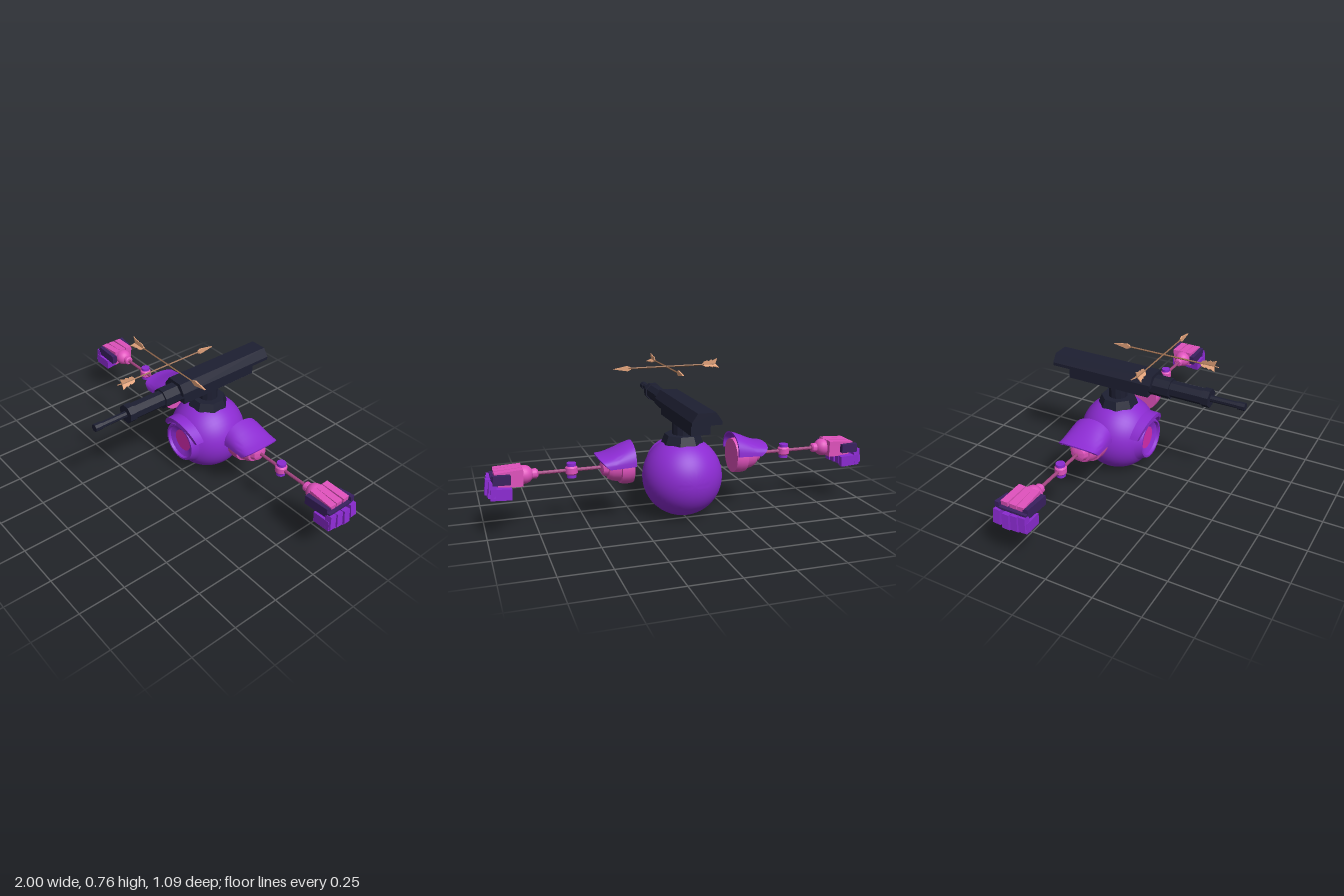
import * as THREE from 'three';
import { toCreasedNormals } from 'three/addons/utils/BufferGeometryUtils.js';

const mat = (name, color) => Object.assign(new THREE.MeshStandardMaterial({ color }), { name });
const purple = mat('purple', 0x8c2bd2);
const darkPurple = mat('dark purple', 0x3a2160);
const pink = mat('pink', 0xe052bd);
const magenta = mat('magenta', 0xd82cb2);
const rodPink = mat('dull pink', 0xa0437f);
const navy = mat('navy', 0x1d1f32);
const tan = mat('tan', 0xe2a27a);
const brown = mat('brown', 0x94694c);

const CZ = -0.18; // depth of the body and arm axis
const EYE_Y = 0.207;
const ARM_Y = 0.29;

function add(parent, name, geo, material, pos = [0, 0, 0], rot = [0, 0, 0]) {
  const m = new THREE.Mesh(geo, material);
  m.name = name;
  m.position.set(...pos);
  m.rotation.set(...rot);
  parent.add(m);
  return m;
}
const flat = (g) => toCreasedNormals(g, 0.1);
const box = (w, h, d) => new THREE.BoxGeometry(w, h, d);
const outline = (pts) => new THREE.Shape(pts.map((p) => new THREE.Vector2(...p)));
const plate = (shape, depth) => new THREE.ExtrudeGeometry(shape, { depth, bevelEnabled: false }).translate(0, 0, -depth / 2);
const lathe = (pts, seg = 40, crease = 0.5) =>
  toCreasedNormals(new THREE.LatheGeometry(pts.map(([r, y]) => new THREE.Vector2(r, y)), seg), crease);

// Joins closed cross-sections into a capped solid facing outwards
function loft(sections, crease = 0.6) {
  const n = sections[0].length, pos = sections.flat(2), idx = [];
  for (let i = 0; i < sections.length - 1; i++)
    for (let j = 0; j < n; j++) {
      const a = i * n + j, b = i * n + (j + 1) % n;
      idx.push(a, b, b + n, a, b + n, a + n);
    }
  const last = (sections.length - 1) * n;
  for (let j = 0; j < n / 2 - 1; j++) {
    const a = j, b = j + 1, c = n - 2 - j, d = n - 1 - j;
    idx.push(a, c, b, a, d, c, last + a, last + b, last + c, last + a, last + c, last + d);
  }
  let volume = 0;
  const v = (i) => new THREE.Vector3().fromArray(pos, i * 3);
  for (let i = 0; i < idx.length; i += 3) volume += v(idx[i]).dot(v(idx[i + 1]).cross(v(idx[i + 2])));
  if (volume < 0) idx.reverse();
  const g = new THREE.BufferGeometry();
  g.setAttribute('position', new THREE.Float32BufferAttribute(pos, 3));
  g.setIndex(idx);
  return toCreasedNormals(g, crease);
}

// Mirrors a group across x with the corner order corrected
function mirrored(group, name) {
  const out = new THREE.Group();
  out.name = name;
  group.updateMatrixWorld(true);
  group.traverse((m) => {
    if (!m.isMesh) return;
    const g = (m.geometry.index ? m.geometry.toNonIndexed() : m.geometry.clone()).applyMatrix4(m.matrixWorld);
    g.scale(-1, 1, 1);
    for (const a of Object.values(g.attributes))
      for (let i = 0; i < a.count; i += 3)
        for (let k = 0; k < a.itemSize; k++) {
          const t = a.getComponent(i + 1, k);
          a.setComponent(i + 1, k, a.getComponent(i + 2, k));
          a.setComponent(i + 2, k, t);
        }
    add(out, m.name, g, m.material);
  });
  return out;
}

function buildBody() {
  const g = new THREE.Group();
  g.name = 'body';
  const at = [0, EYE_Y, CZ], toFront = [Math.PI / 2, 0, 0];
  // Ball shell, open at the front for the eye
  const shell = [];
  for (let i = 0; i <= 28; i++) {
    const a = (i / 28) * 2.465;
    shell.push([Math.max(0.0001, 0.206 * Math.sin(a)), -0.206 * Math.cos(a)]);
  }
  add(g, 'ballShell', lathe(shell, 48), purple, at, toFront);
  add(g, 'eyeRing', lathe([[0.13, 0.158], [0.123, 0.164], [0.106, 0.2], [0.096, 0.2], [0.092, 0.185], [0.06, 0.172]], 48), purple, at, toFront);
  add(g, 'eyeLens', new THREE.CircleGeometry(0.062, 40), magenta, [0, EYE_Y, CZ + 0.174]);
  // Curved brow above the eye
  const sections = [];
  for (let i = 0; i <= 20; i++) {
    const t = THREE.MathUtils.degToRad(22 + (136 * i) / 20), s = (Math.sin(t) - 0.37) / 0.63;
    const p = (r, z) => [r * Math.cos(t), EYE_Y + r * Math.sin(t), z];
    const front = 0.008 + 0.03 * s, back = -0.037 + 0.015 * s;
    sections.push([p(0.15, back), p(0.147, front), p(0.126, front), p(0.126, back)]);
  }
  add(g, 'eyeBrow', loft(sections), purple);
  return g;
}

function buildCannon() {
  const g = new THREE.Group();
  g.name = 'cannon';
  // Turret mount
  const drum = (name, r1, r2, y0, y1, n) =>
    add(g, name, flat(new THREE.CylinderGeometry(r2, r1, y1 - y0, n)), navy, [0, (y0 + y1) / 2, CZ], [0, Math.PI / n, 0]);
  drum('mountBase', 0.108, 0.09, 0.385, 0.43, 8);
  drum('mountNeck', 0.052, 0.052, 0.42, 0.5, 12);
  // Housing
  add(g, 'lowerHousing', box(0.1, 0.07, 0.48), navy, [0, 0.523, -0.215]);
  const s = outline([[-0.075, 0.555], [0.075, 0.555], [0.075, 0.572], [0.045, 0.615], [-0.045, 0.615], [-0.075, 0.572]]);
  add(g, 'upperHousing', plate(s, 0.59), navy, [0, 0, -0.245]);
  // Barrel pieces: name, radius, z start, z end
  for (const [name, r, z0, z1] of [
    ['barrelCollar', 0.055, 0.02, 0.142], ['barrel', 0.044, 0.14, 0.34], ['barrelRing', 0.05, 0.322, 0.36],
    ['innerBarrel', 0.017, 0.35, 0.51], ['muzzle', 0.021, 0.506, 0.545],
  ])
    add(g, name, flat(new THREE.CylinderGeometry(r, r, z1 - z0, 8).rotateY(Math.PI / 8).rotateX(Math.PI / 2)), navy, [0, 0.547, (z0 + z1) / 2]);
  return g;
}

function buildArm() {
  const g = new THREE.Group();
  g.name = 'leftArm';
  const alongX = (name, pts, material, seg = 24) =>
    add(g, name, lathe(pts, seg), material, [0, ARM_Y, CZ], [0, 0, -Math.PI / 2]);
  alongX('shoulder', [[0.0001, 0.272], [0.09, 0.272], [0.093, 0.3], [0.089, 0.335], [0.079, 0.338], [0.071, 0.375],
    [0.06, 0.395], [0.049, 0.397], [0.04, 0.42], [0.022, 0.428], [0.0001, 0.428]], pink, 32);

  // Flared shoulder guard
  const sections = [];
  for (let i = 0; i <= 24; i++) {
    const t = (Math.PI * i) / 24, s = Math.sin(t), outer = [], inner = [];
    for (let j = 0; j <= 6; j++) {
      const u = j / 6, h = 0.11 - 0.06 * Math.pow(THREE.MathUtils.smoothstep(u, -0.15, 1), 0.9);
      const x = 0.27 + u * (0.13 + 0.05 * Math.pow(s, 0.5)), base = 0.31 - 0.006 * u, r = 0.115 - 0.003 * u * u;
      const lift = Math.pow(s, 0.8 - 0.25 * u);
      outer.push([x, base + h * lift, CZ + r * Math.cos(t)]);
      inner.unshift([x, base - 0.002 + (h - 0.006) * lift, CZ + (r - 0.01) * Math.cos(t)]);
    }
    sections.push([...outer, ...inner]);
  }
  add(g, 'shoulderGuard', loft(sections), purple);

  // Rod, elbow and wrist
  alongX('armRod', [[0.009, 0.41], [0.009, 0.79]], rodPink, 12);
  add(g, 'elbowPin', new THREE.CylinderGeometry(0.024, 0.024, 0.074, 16), purple, [0.573, ARM_Y, CZ]);
  add(g, 'elbowJoint', lathe([[0.0001, -0.024], [0.022, -0.024], [0.031, -0.014], [0.031, 0.014], [0.022, 0.024], [0.0001, 0.024]], 16), pink, [0.573, ARM_Y, CZ]);
  alongX('wristCollar', [[0.0001, 0.738], [0.018, 0.738], [0.025, 0.745], [0.025, 0.765], [0.02, 0.772]], pink);
  add(g, 'wristBall', new THREE.SphereGeometry(0.046, 24, 16), pink, [0.805, ARM_Y, CZ]);

  // Hand: pink palm and back, dark side plates
  add(g, 'palm', box(0.12, 0.07, 0.115), pink, [0.875, 0.285, -0.187]);
  add(g, 'frontPlate', box(0.14, 0.05, 0.03), darkPurple, [0.88, 0.293, -0.119], [0, 0, 0.05]);
  add(g, 'rearPlate', box(0.085, 0.046, 0.026), darkPurple, [0.92, 0.297, -0.264], [0, 0.1, 0.05]);
  add(g, 'knucklePlate', box(0.05, 0.013, 0.15), darkPurple, [0.94, 0.294, -0.182]);
  [-0.232, -0.187, -0.146].forEach((z, i) =>
    add(g, 'fingerBase', box(0.135, 0.024, 0.038), pink, [0.882, 0.319, z], [0, (1 - i) * 0.04, -0.06]));
  // Curled fingers: depth, outward reach
  [[-0.262, 0], [-0.203, 0.012], [-0.16, 0.006], [-0.12, 0]].forEach(([z, reach], i) => {
    const tilt = (i - 1.5) * -0.04;
    add(g, 'fingerMiddle', box(0.036, 0.075, 0.036), purple, [0.964 + reach, 0.253, z], [tilt, 0, 0.1]);
    add(g, 'fingerTip', box(0.1, 0.055, 0.036), purple, [0.924 + reach, 0.229, z], [0, tilt, 0.08]);
  });
  return g;
}

function buildArrow(name) {
  const g = new THREE.Group();
  g.name = name;
  add(g, 'arrowShaft', flat(new THREE.CylinderGeometry(0.0048, 0.0048, 0.49, 4).rotateZ(Math.PI / 2)), brown, [-0.035, 0, 0]);
  // Flat upright head
  const head = outline([[0.195, -0.006], [0.213, -0.014], [0.29, 0], [0.213, 0.014], [0.195, 0.006]]);
  add(g, 'arrowHead', plate(head, 0.008), tan);
  const vane = outline([[-0.2, 0], [-0.215, 0.017], [-0.235, 0.022], [-0.238, 0.016], [-0.257, 0.026],
    [-0.262, 0.02], [-0.29, 0.032], [-0.279, 0]]);
  for (let i = 0; i < 3; i++)
    add(g, 'arrowVane', plate(vane, 0.004), tan, [0, 0, 0], [(i * Math.PI * 2) / 3, 0, 0]);
  return g;
}

export function createModel() {
  const root = new THREE.Group();
  root.name = 'floatingRobot';
  const arm = buildArm();
  root.add(buildBody(), buildCannon(), arm, mirrored(arm, 'rightArm'));
  // Two crossed arrows hovering above
  const across = buildArrow('crossArrow'), along = buildArrow('lengthArrow');
  across.position.set(0, 0.73, 0.09);
  along.position.set(0, 0.73, 0.092);
  along.rotation.y = Math.PI / 2;
  root.add(across, along);
  return root;
}
